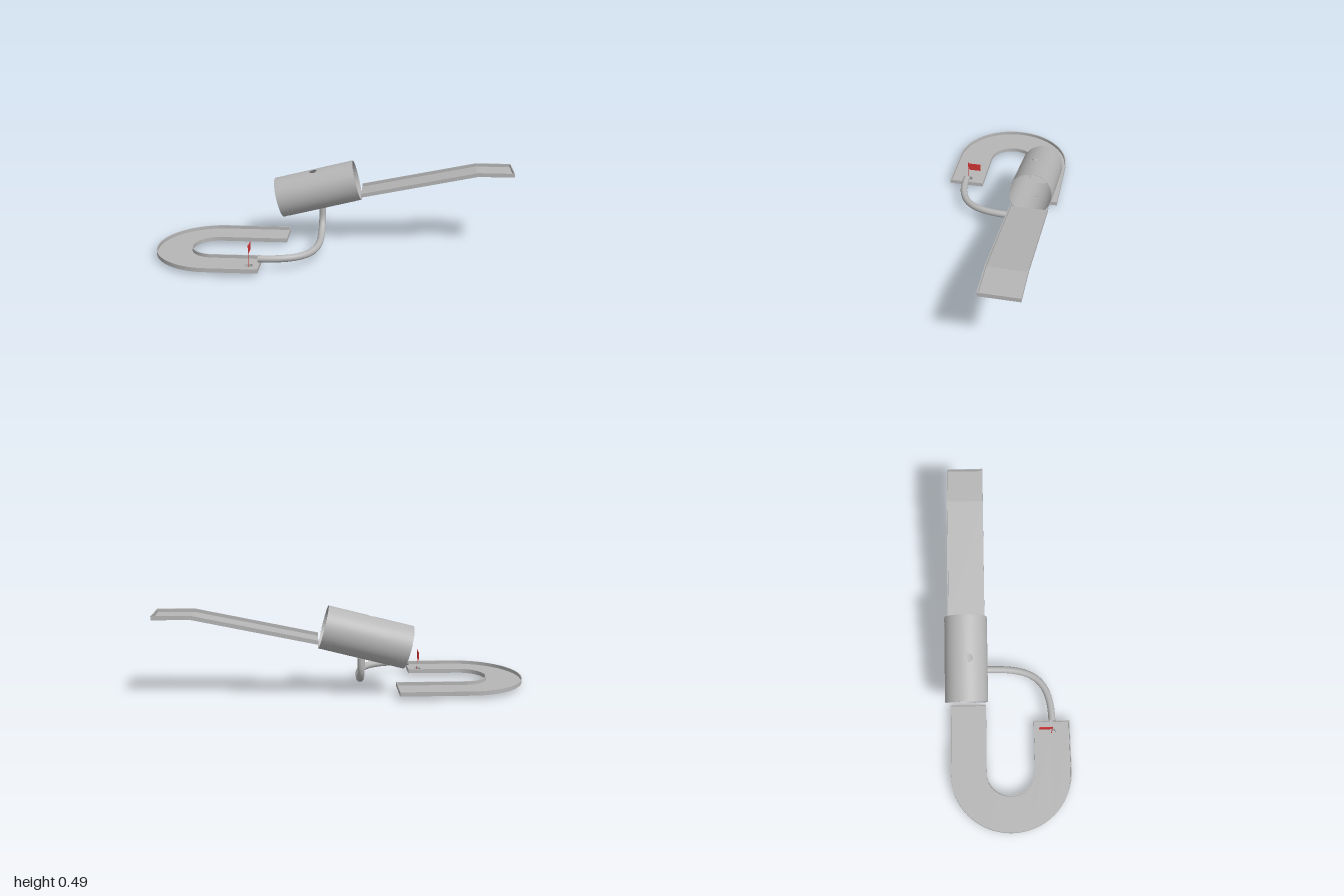
import * as THREE from 'three';
import { toCreasedNormals } from 'three/addons/utils/BufferGeometryUtils.js';
import { ParametricGeometry } from 'three/addons/geometries/ParametricGeometry.js';

const grey = new THREE.MeshStandardMaterial({ color: 0xb6b6b6, side: THREE.DoubleSide });
grey.name = 'grey';
const red = new THREE.MeshStandardMaterial({ color: 0xd63636, side: THREE.DoubleSide });
red.name = 'flagRed';

const WALL = 0.005, FLOOR = 0.004, DEPTH = 0.022;
const CUP = { x: -0.443, z: 0.241, r: 0.022 };

function add(parent, name, geometry, material = grey, x = 0, y = 0, z = 0) {
  const mesh = new THREE.Mesh(geometry, material);
  mesh.name = name;
  mesh.position.set(x, y, z);
  parent.add(mesh);
  return mesh;
}

// Outline of the U-shaped lane, shrunk inward by i (shape y is -z)
function laneOutline(i, Type = THREE.Shape) {
  const cx = -0.664, cy = -0.007, R = 0.336 - i, r = 0.134 + i;
  const backEnd = -0.28 - i, frontEnd = -0.38 - i;
  const s = new Type();
  s.moveTo(backEnd, cy + R);
  s.lineTo(cx, cy + R);
  s.absarc(cx, cy, R, Math.PI / 2, Math.PI * 1.5, false);
  s.lineTo(frontEnd, cy - R);
  s.lineTo(frontEnd, cy - r);
  s.lineTo(cx, cy - r);
  s.absarc(cx, cy, r, Math.PI * 1.5, Math.PI / 2, true);
  s.lineTo(backEnd, cy + r);
  s.closePath();
  return s;
}

// Extrude a plan shape upward
function raise(shape, depth) {
  const g = new THREE.ExtrudeGeometry(shape, { depth, bevelEnabled: false, curveSegments: 40 });
  return toCreasedNormals(g.rotateX(-Math.PI / 2), 0.5);
}

// Bent strip following the ramp, extruded across z
function rampStrip(height, width) {
  const line = [[0.147, 0.304], [0.8, 0.441], [1, 0.441]];
  const pts = [...line, ...line.map(([x, y]) => [x, y + height]).reverse()];
  const shape = new THREE.Shape(pts.map(([x, y]) => new THREE.Vector2(x, y)));
  return new THREE.ExtrudeGeometry(shape, { depth: width, bevelEnabled: false });
}

// Cylinder skin around x with one round hole near the top
function piercedSkin(radius, length, holeRadius, holeAngle) {
  return new ParametricGeometry((u, v, p) => {
    const t = u * Math.PI * 2, c = Math.cos(t), s = Math.sin(t);
    const m = Math.max(Math.abs(c), Math.abs(s));
    const arc = THREE.MathUtils.lerp(holeRadius * c, Math.PI * radius * c / m, v);
    const x = THREE.MathUtils.lerp(holeRadius * s, length / 2 * s / m, v);
    const a = arc / radius + holeAngle;
    p.set(x, radius * Math.cos(a), radius * Math.sin(a));
  }, 96, 32);
}

export function createModel() {
  const model = new THREE.Group();
  model.name = 'golfCourse';

  // U-shaped lane: floor with cup hole, rim wall
  const lane = new THREE.Group();
  lane.name = 'lane';
  model.add(lane);
  const floor = laneOutline(0);
  floor.holes.push(new THREE.Path().absarc(CUP.x, -CUP.z, CUP.r, 0, Math.PI * 2, true));
  add(lane, 'laneFloor', raise(floor, FLOOR), grey, 0, 0.02, 0);
  const rim = laneOutline(0);
  rim.holes.push(laneOutline(WALL, THREE.Path));
  add(lane, 'laneWall', raise(rim, DEPTH), grey, 0, 0.021, 0);

  // Cup below the floor
  add(lane, 'cupWall', new THREE.CylinderGeometry(CUP.r, CUP.r, 0.022, 32, 1, true), grey, CUP.x, 0.011, CUP.z);
  add(lane, 'cupBottom', new THREE.CircleGeometry(CUP.r, 32).rotateX(-Math.PI / 2), grey, CUP.x, 0.0005, CUP.z);

  // Flag
  const flag = new THREE.Group();
  flag.name = 'flag';
  model.add(flag);
  add(flag, 'flagPole', new THREE.BoxGeometry(0.002, 0.141, 0.004), red, CUP.x, 0.0705, CUP.z);
  add(flag, 'flagCloth', new THREE.BoxGeometry(0.002, 0.045, 0.069), red, CUP.x, 0.1125, 0.2025);

  // Return pipe curving from the lane up to the barrel
  const V = (x, y, z) => new THREE.Vector3(x, y, z);
  const path = new THREE.CurvePath();
  path.add(new THREE.CubicBezierCurve3(V(-0.39, 0.064, 0.242), V(-0.14, 0.064, 0.242), V(-0.08, 0.064, 0.14), V(-0.08, 0.064, -0.085)));
  path.add(new THREE.CubicBezierCurve3(V(-0.08, 0.064, -0.085), V(-0.08, 0.066, -0.17), V(-0.08, 0.1, -0.226), V(-0.08, 0.175, -0.226)));
  path.add(new THREE.LineCurve3(V(-0.08, 0.175, -0.226), V(-0.08, 0.207, -0.226)));
  add(model, 'returnPipe', new THREE.TubeGeometry(path, 96, 0.0195, 20, false));

  // Tilted open barrel with a hole in the top
  const barrel = new THREE.Group();
  barrel.name = 'barrel';
  barrel.position.set(-0.105, 0.32, -0.227);
  barrel.rotation.z = 0.25;
  model.add(barrel);
  const R = 0.1165, L = 0.464;
  add(barrel, 'barrelOuter', piercedSkin(R, L, 0.022, 0.17));
  add(barrel, 'barrelInner', piercedSkin(R - 0.003, L, 0.022, 0.17));
  for (const side of [-1, 1]) {
    const ring = new THREE.RingGeometry(R - 0.003, R, 64).rotateY(side * Math.PI / 2);
    add(barrel, 'barrelEdge', ring, grey, side * L / 2, 0, 0);
  }

  // Ramp: floor, side walls and end wall
  const ramp = new THREE.Group();
  ramp.name = 'ramp';
  model.add(ramp);
  const z0 = -0.329, width = 0.204;
  add(ramp, 'rampFloor', rampStrip(FLOOR, width), grey, 0, 0, z0);
  for (const z of [z0, z0 + width - WALL]) {
    add(ramp, 'rampSide', rampStrip(DEPTH, WALL), grey, 0, 0, z);
  }
  add(ramp, 'rampEnd', new THREE.BoxGeometry(WALL, DEPTH, width), grey, 1 - WALL / 2, 0.441 + DEPTH / 2, z0 + width / 2);

  return model;
}
